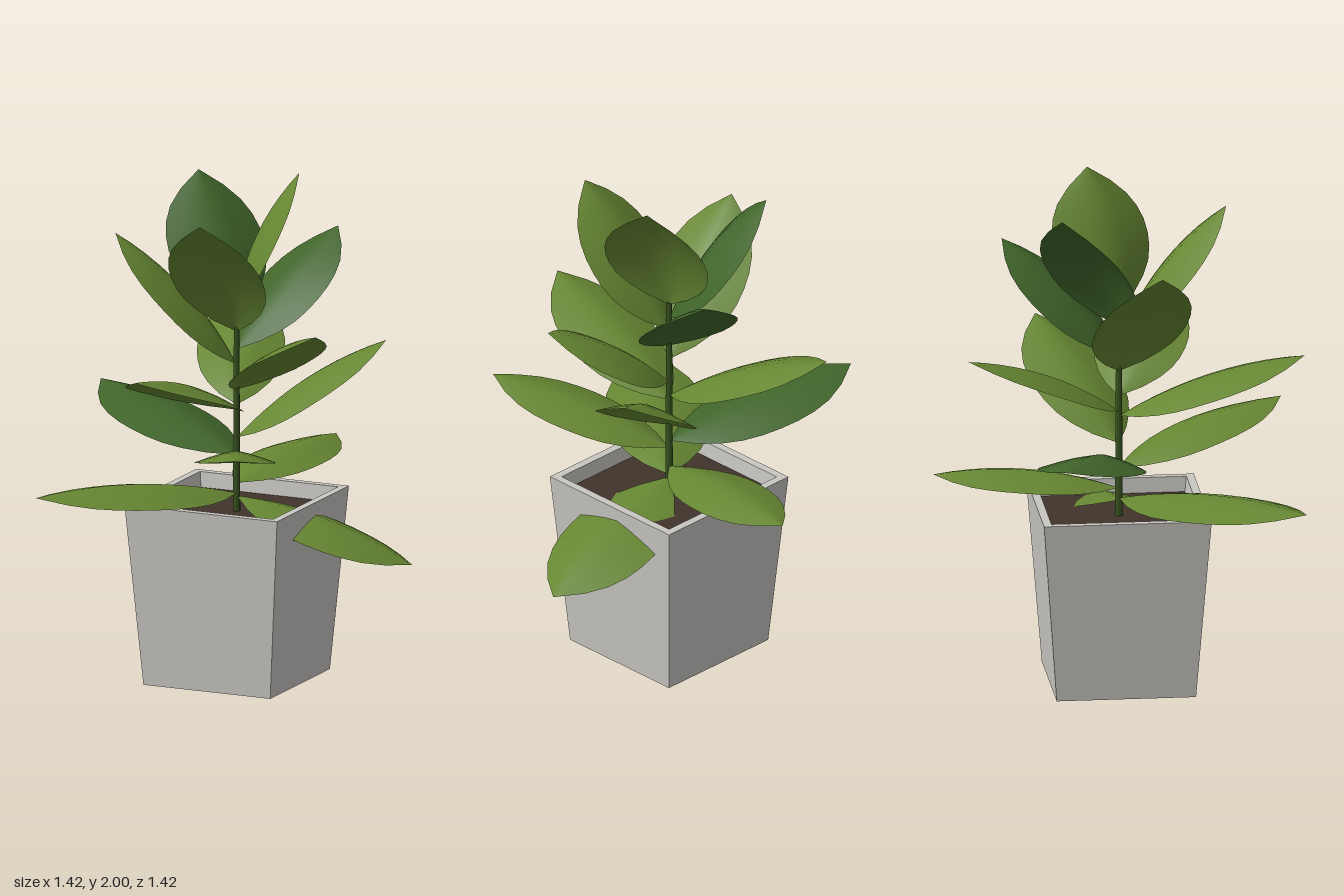
import * as THREE from 'three';

const mat = (name, color, extra = {}) => {
  const m = new THREE.MeshStandardMaterial({ color, ...extra });
  m.name = name;
  return m;
};

// Half-width of a leaf along its length, as a share of its widest point
const OUTLINE = [0, 0.42, 0.7, 0.88, 0.97, 1, 0.98, 0.9, 0.74, 0.45, 0];
const ROWS = OUTLINE.length - 1;

// A leaf from the stem to its tip: arched midrib, both halves folded down
function leafGeometry(baseY, x, y, z, halfWidth) {
  const reach = Math.hypot(x, z), dx = x / reach, dz = z / reach;
  const length = Math.hypot(reach, y - baseY), bow = 0.09;
  const cr = reach / 2 - bow * (y - baseY) / length;
  const cy = (baseY + y) / 2 + bow * reach / length;
  const geo = new THREE.PlaneGeometry(2, 1, 6, ROWS);
  const pos = geo.attributes.position;
  for (let i = 0; i < pos.count; i++) {
    const u = pos.getX(i), t = pos.getY(i) + 0.5;
    const w = halfWidth * OUTLINE[Math.round(t * ROWS)];
    // midrib point and tangent in the vertical plane of the leaf
    const r = 2 * t * (1 - t) * cr + t * t * reach;
    const h = (1 - t) ** 2 * baseY + 2 * t * (1 - t) * cy + t * t * y;
    const tr = (1 - t) * cr + t * (reach - cr);
    const ty = (1 - t) * (cy - baseY) + t * (y - cy);
    const k = 0.3 * w * Math.abs(u) ** 1.3 / Math.hypot(tr, ty);
    const rr = r + ty * k, side = u * w;
    pos.setXYZ(i, dx * rr - dz * side, h - tr * k, dz * rr + dx * side);
  }
  geo.computeVertexNormals();
  return geo;
}

export function createModel() {
  const plant = new THREE.Group();
  plant.name = 'pottedPlant';
  const concrete = mat('pale concrete', 0xc9c7c2);
  const earth = mat('dark soil', 0x40332b);
  const bark = mat('stem green', 0x38521f);
  const olive = mat('olive leaf', 0x668632, { side: THREE.DoubleSide });
  const deep = mat('deep green leaf', 0x40652a, { side: THREE.DoubleSide });

  const add = (name, geo, material) => {
    const mesh = new THREE.Mesh(geo, material);
    mesh.name = name;
    plant.add(mesh);
    return mesh;
  };

  // Square tapered pot with a thin rim and inner wall
  const d = Math.SQRT2;
  const profile = [[0, 0], [0.27, 0], [0.325, 0.72], [0.293, 0.72], [0.285, 0.64]]
    .map(([r, y]) => new THREE.Vector2(r * d, y));
  const potGeo = new THREE.LatheGeometry(profile, 4, Math.PI / 4).toNonIndexed();
  potGeo.computeVertexNormals();
  add('pot', potGeo, concrete);

  const soil = add('soil', new THREE.PlaneGeometry(0.575, 0.575), earth);
  soil.rotation.x = -Math.PI / 2;
  soil.position.y = 0.66;

  const stem = add('stem', new THREE.CylinderGeometry(0.011, 0.015, 0.84, 8), bark);
  stem.position.y = 1.07;

  // Leaves spiralling up the stem: base height, tip x, y, z, half-width, deep colour
  const leaves = [
    [0.72, 0.71, 0.50, -0.08, 0.205],
    [0.73, -0.54, 0.80, 0.67, 0.2],
    [0.77, 0.09, 0.82, -0.71, 0.16],
    [0.85, 0.30, 1.03, 0.66, 0.16],
    [0.88, -0.71, 1.05, -0.28, 0.2, true],
    [0.95, 0.51, 1.33, -0.27, 0.19],
    [1.06, -0.10, 1.31, 0.71, 0.19],
    [1.08, -0.25, 1.37, -0.61, 0.17],
    [1.14, 0.44, 1.44, 0.22, 0.18],
    [1.24, -0.46, 1.74, 0.12, 0.19],
    [1.30, 0.23, 1.72, -0.43, 0.19, true],
    [1.37, 0.04, 1.88, 0.42, 0.19],
    [1.42, -0.28, 1.93, -0.25, 0.2, true],
    [1.48, 0.22, 2.00, -0.10, 0.21],
  ];
  leaves.forEach(([baseY, x, y, z, w, isDeep], i) =>
    add(`leaf${i + 1}`, leafGeometry(baseY, x, y, z, w), isDeep ? deep : olive));

  return plant;
}
